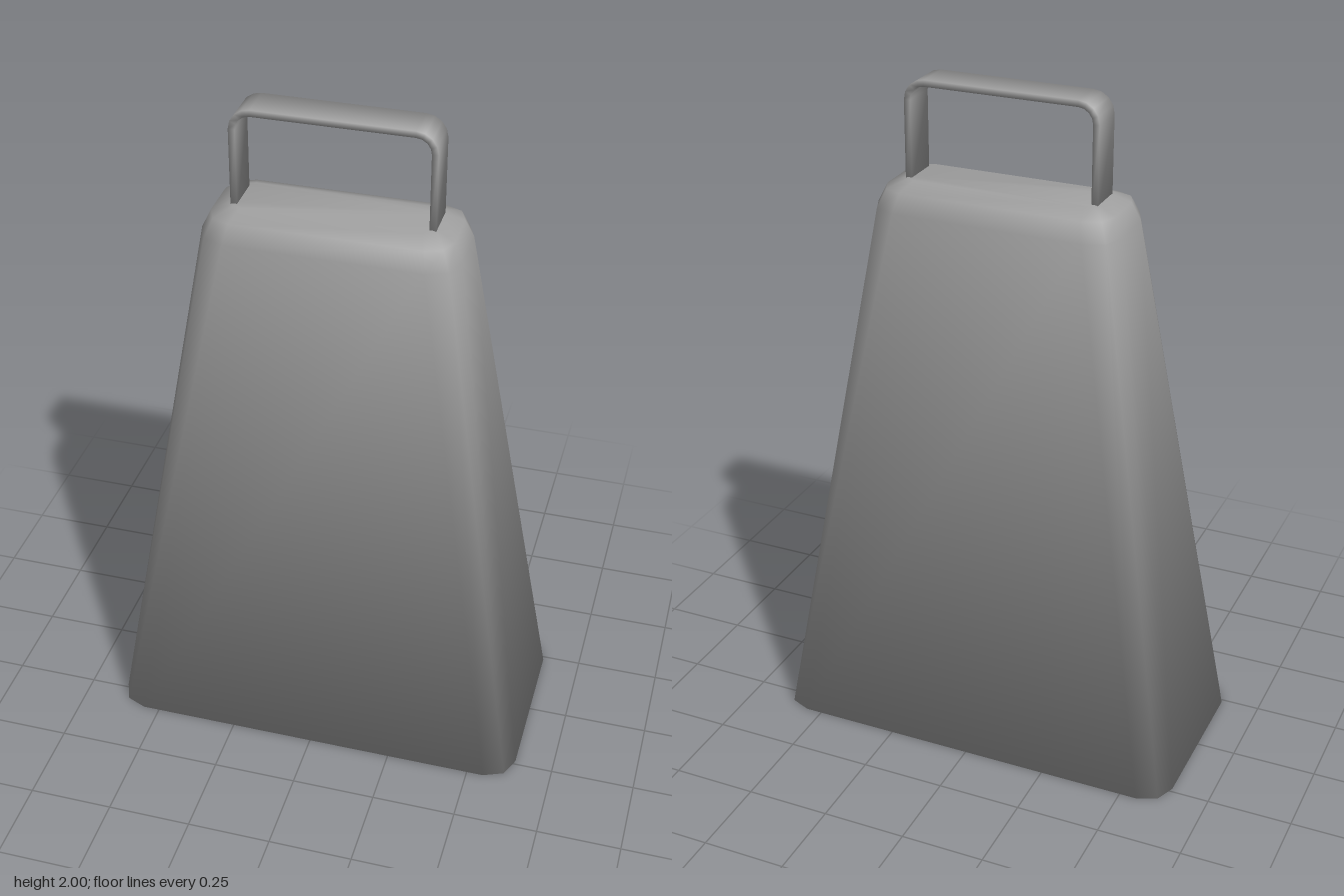
import * as THREE from 'three';

const material = new THREE.MeshStandardMaterial({ color: 0xa0a0a0 });

function part(name, geometry) {
  const mesh = new THREE.Mesh(geometry, material);
  mesh.name = name;
  return mesh;
}

// Smooth normals weighted by corner angle, so narrow rims and edges shade softly into the walls.
function smoothByAngle(geometry) {
  const { position } = geometry.attributes, index = geometry.index.array;
  const points = Array.from({ length: position.count }, (_, i) =>
    new THREE.Vector3().fromBufferAttribute(position, i));
  const normals = points.map(() => new THREE.Vector3());
  for (let f = 0; f < index.length; f += 3) {
    const ids = [index[f], index[f + 1], index[f + 2]];
    const face = new THREE.Triangle(...ids.map((i) => points[i])).getNormal(new THREE.Vector3());
    ids.forEach((id, c) => {
      const toNext = points[ids[(c + 1) % 3]].clone().sub(points[id]);
      const toPrev = points[ids[(c + 2) % 3]].clone().sub(points[id]);
      normals[id].addScaledVector(face, toNext.angleTo(toPrev));
    });
  }
  const flat = normals.flatMap((n) => n.normalize().toArray());
  geometry.setAttribute('normal', new THREE.Float32BufferAttribute(flat, 3));
  return geometry;
}

// Skin a list of equal-length closed rings, capping both ends.
function loft(rings) {
  const n = rings[0].length, index = [];
  for (let i = 0; i < rings.length - 1; i++) {
    for (let j = 0; j < n; j++) {
      const k = (j + 1) % n, a = i * n + j, b = i * n + k;
      index.push(a, b, b + n, a, b + n, a + n);
    }
  }
  const end = (rings.length - 1) * n;
  for (let j = 1; j < n - 1; j++) {
    index.push(0, j + 1, j, end, end + j, end + j + 1);
  }
  const geometry = new THREE.BufferGeometry();
  geometry.setAttribute('position', new THREE.Float32BufferAttribute(rings.flat(2), 3));
  geometry.setIndex(index);
  return smoothByAngle(geometry);
}

// Horizontal rounded rectangle, two segments per corner.
function roundedRing(y, hx, hz, r) {
  const ring = [];
  [[1, 1], [-1, 1], [-1, -1], [1, -1]].forEach(([sx, sz], q) => {
    for (let s = 0; s <= 2; s++) {
      const a = (q + s / 2) * Math.PI / 2;
      ring.push([sx * (hx - r) + r * Math.cos(a), y, -sz * (hz - r) - r * Math.sin(a)]);
    }
  });
  return ring;
}

// Hollow bell: down the inside, around the rim, up the outside.
function bellShell() {
  const wall = 0.022;
  const profile = [ // y, half width, half depth, corner radius
    [0, 0.635, 0.322, 0.085],
    [1.64, 0.367, 0.157, 0.085],
    [1.693, 0.342, 0.132, 0.07],
    [1.715, 0.285, 0.075, 0.03],
  ];
  const inner = profile.map(([y, hx, hz, r]) =>
    roundedRing(y && y - wall, hx - wall, hz - wall, r - wall * 0.6)).reverse();
  return loft([...inner, ...profile.map((p) => roundedRing(...p))]);
}

// Flat strap bent into an arch with rounded corners.
function strapHandle() {
  const cx = 0.226, cy = 1.938, outer = 0.062, inner = 0.043, w = 0.055, steps = 4;
  const section = (x, y, a) => {
    const at = (r, z) => [x + r * Math.cos(a), y + r * Math.sin(a), z];
    return [at(inner, -w), at(outer, -w), at(outer, w), at(inner, w)];
  };
  const rings = [section(-cx, 1.69, Math.PI)];
  for (const side of [-1, 1]) {
    for (let s = 0; s <= steps; s++) {
      const turn = (s / steps + (side > 0 ? 1 : 0)) * Math.PI / 2;
      rings.push(section(side * cx, cy, Math.PI - turn));
    }
  }
  rings.push(section(cx, 1.69, 0));
  return loft(rings);
}

export function createModel() {
  const group = new THREE.Group();
  group.name = 'cowbell';
  group.add(part('bellShell', bellShell()), part('handle', strapHandle()));

  // Clapper hanging inside the bell
  const clapper = new THREE.Group();
  clapper.name = 'clapper';
  const ball = part('clapperBall', new THREE.SphereGeometry(0.105, 8, 4));
  ball.position.y = 0.14;
  const rod = part('clapperRod', new THREE.CylinderGeometry(0.018, 0.018, 1.5, 8));
  rod.position.y = 0.955;
  clapper.add(ball, rod);
  group.add(clapper);
  return group;
}
